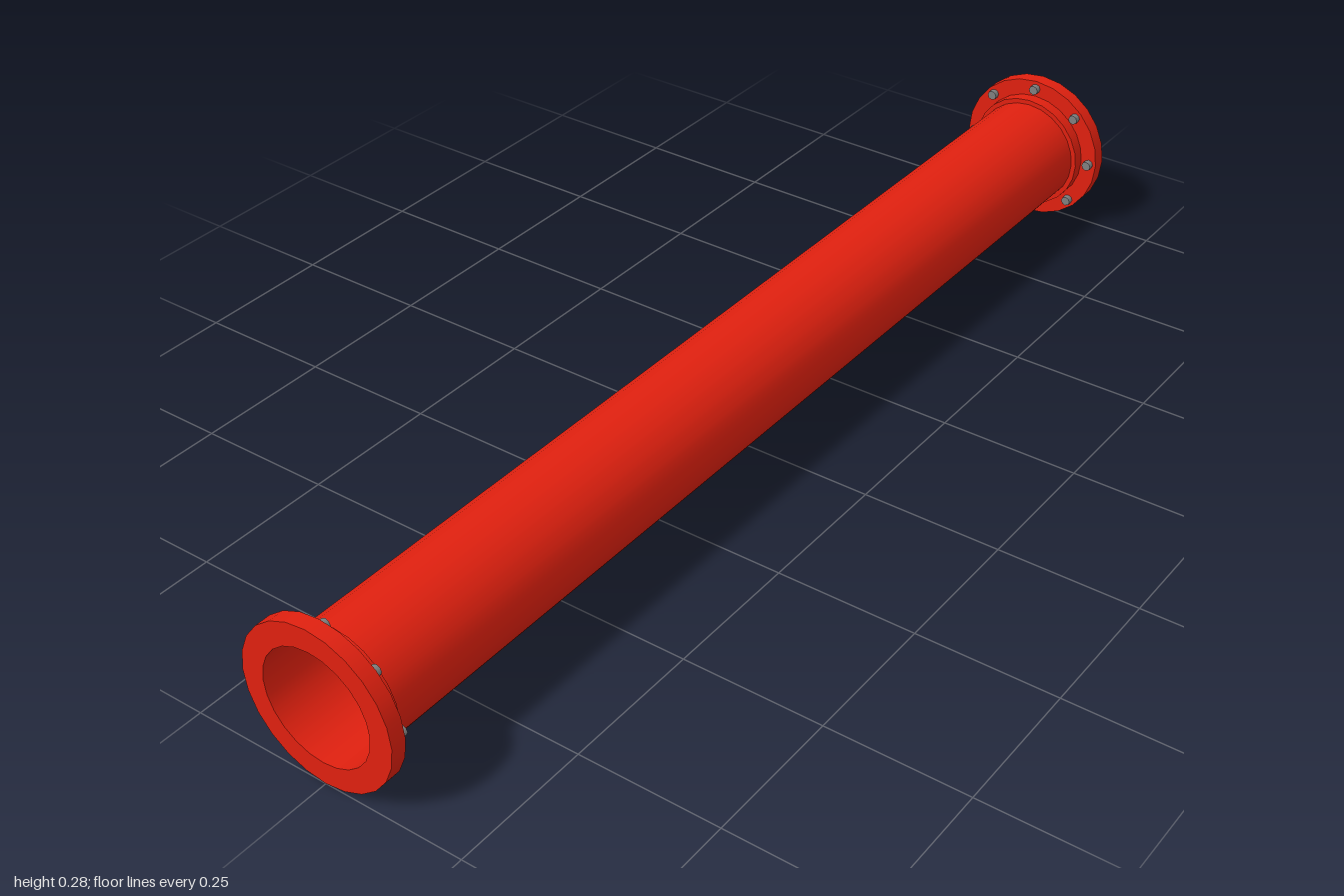
import * as THREE from 'three';
import { mergeGeometries } from 'three/addons/utils/BufferGeometryUtils.js';

const SIDES = 24, PIPE_R = 0.1, FLANGE_R = 0.14, BOLT_RING = 0.125, BOLTS = 8;

// Lathe each straight run separately so the corners stay sharp.
function sharpLathe(profile) {
  const points = profile.map(([r, y]) => new THREE.Vector2(r, y));
  const bands = [];
  for (let i = 0; i < points.length - 1; i++) {
    bands.push(new THREE.LatheGeometry([points[i], points[i + 1]], SIDES));
  }
  return mergeGeometries(bands);
}

export function createModel() {
  const red = new THREE.MeshStandardMaterial({ color: 0xe0200f, side: THREE.DoubleSide });
  const steel = new THREE.MeshStandardMaterial({ color: 0x808080 });
  const model = new THREE.Group();
  model.name = 'flangedPipe';

  // Thin-walled tube running the full length
  const pipe = new THREE.Mesh(new THREE.CylinderGeometry(PIPE_R, PIPE_R, 2, SIDES, 1, true), red);
  pipe.name = 'pipe';
  pipe.rotation.z = -Math.PI / 2;
  pipe.position.y = FLANGE_R;
  model.add(pipe);

  // Collar stepping out to the flange plate
  const flangeGeometry = sharpLathe([
    [PIPE_R, 0.95], [0.109, 0.95], [0.109, 0.973],
    [FLANGE_R, 0.973], [FLANGE_R, 1], [PIPE_R, 1],
  ]);
  const boltGeometry = new THREE.CylinderGeometry(0.009, 0.009, 0.012, 8);

  // One bolted flange at each end
  for (const side of [1, -1]) {
    const end = new THREE.Group();
    end.name = side > 0 ? 'leftEnd' : 'rightEnd';
    const flange = new THREE.Mesh(flangeGeometry, red);
    flange.name = 'flange';
    end.add(flange);

    for (let i = 0; i < BOLTS; i++) {
      const angle = (i / BOLTS) * Math.PI * 2;
      const bolt = new THREE.Mesh(boltGeometry, steel);
      bolt.name = 'bolt';
      bolt.position.set(BOLT_RING * Math.cos(angle), 0.968, BOLT_RING * Math.sin(angle));
      end.add(bolt);
    }
    end.rotation.z = -side * Math.PI / 2;
    end.position.y = FLANGE_R;
    model.add(end);
  }
  return model;
}
